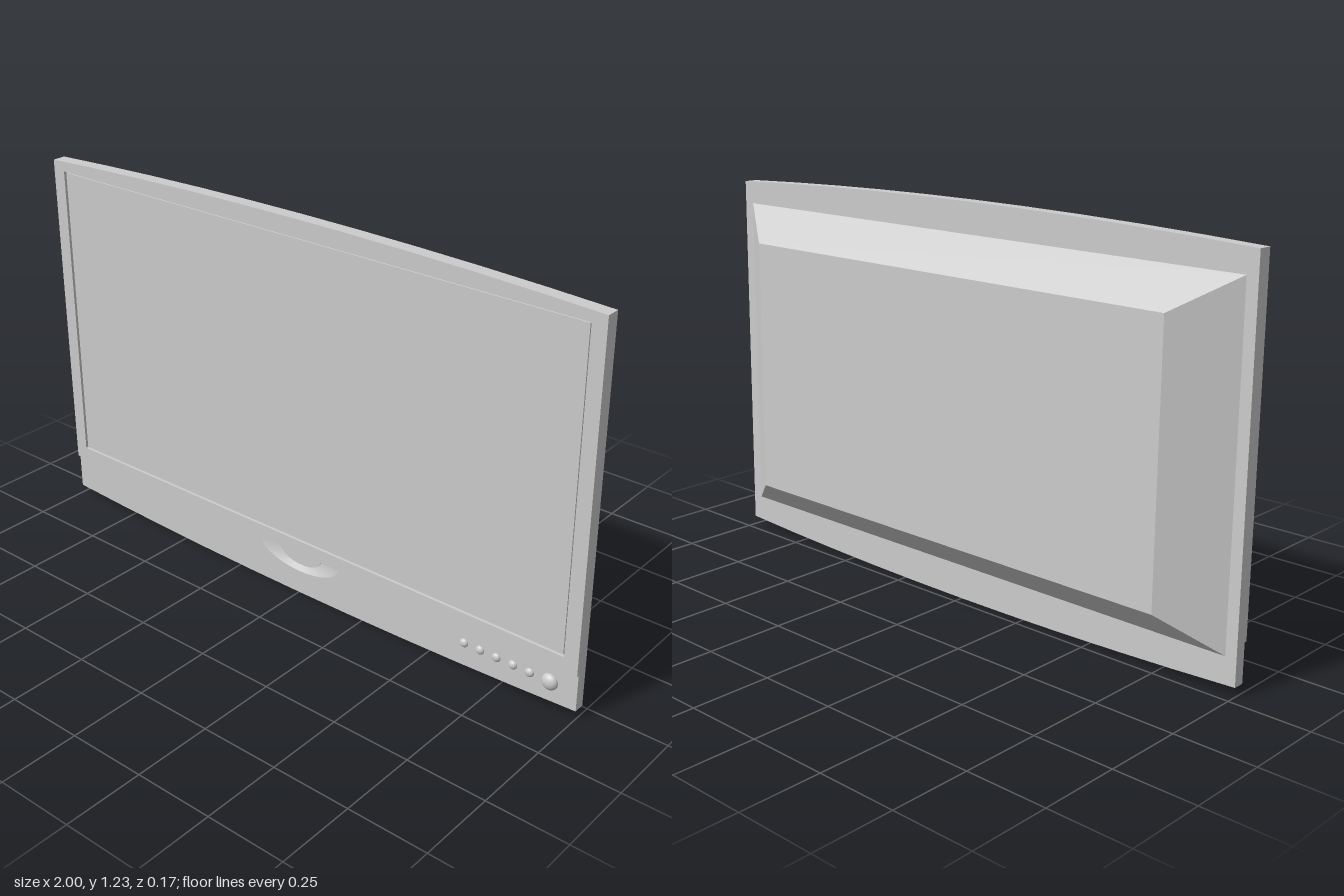
import * as THREE from 'three';

const grey = new THREE.MeshStandardMaterial({ color: 0xcccccc });
const greyTwoSided = new THREE.MeshStandardMaterial({ color: 0xcccccc, side: THREE.DoubleSide });

const STEP_Y = 0.15;                 // underside of the raised bezel
const BACK = 0.03, FRONT = 0.0735;   // depth range of the bezel
const PANEL = 0.065, DISH = 0.05;    // control panel face and recess floor

function add(parent, name, geometry, x = 0, y = 0, z = 0, material = grey) {
  const mesh = new THREE.Mesh(geometry, material);
  mesh.name = name;
  mesh.position.set(x, y, z);
  parent.add(mesh);
  return mesh;
}

function slab(shape, depth) {
  return new THREE.ExtrudeGeometry(shape, { depth, bevelEnabled: false, curveSegments: 20 });
}

// Shallow bowed edge running from x = from to x = -from
function bow(shape, from, endY, midY) {
  for (let i = 1; i <= 10; i++) {
    const t = i / 5 - 1;
    shape.lineTo(-from * t * -1 * -1, midY + (endY - midY) * t * t);
  }
}

// Lower half ellipse hanging from the step line, left to right
function halfEllipse(rx, ry, n = 24) {
  return Array.from({ length: n + 1 }, (_, i) => {
    const a = Math.PI + (Math.PI * i) / n;
    return new THREE.Vector2(rx * Math.cos(a), STEP_Y + ry * Math.sin(a));
  });
}

// Bezel with bowed top and screen opening
function bezelShape() {
  const s = new THREE.Shape();
  s.moveTo(-1, STEP_Y);
  s.lineTo(1, STEP_Y);
  s.lineTo(1, 1.21);
  bow(s, 1, 1.21, 1.235);
  const h = new THREE.Path();
  h.moveTo(-0.955, 0.195);
  h.lineTo(-0.955, 1.18);
  h.lineTo(0.955, 1.18);
  h.lineTo(0.955, 0.195);
  h.closePath();
  s.holes.push(h);
  return s;
}

// Control panel with bowed bottom, optionally notched for the dish
function panelShape(notch) {
  const s = new THREE.Shape();
  s.moveTo(1, STEP_Y);
  if (notch) notch.slice().reverse().forEach((p) => s.lineTo(p.x, p.y));
  s.lineTo(-1, STEP_Y);
  s.lineTo(-1, 0.03);
  bow(s, -1, 0.03, 0.002);
  return s;
}

// Sloped wall between two matching outlines
function slope(outer, outerZ, inner, innerZ) {
  const pos = [], index = [];
  outer.forEach((p, i) => {
    pos.push(p.x, p.y, outerZ, inner[i].x, inner[i].y, innerZ);
    if (i) index.push(2 * i - 2, 2 * i, 2 * i - 1, 2 * i, 2 * i + 1, 2 * i - 1);
  });
  const g = new THREE.BufferGeometry();
  g.setAttribute('position', new THREE.Float32BufferAttribute(pos, 3));
  g.setIndex(index);
  g.computeVertexNormals();
  return g;
}

// Rear housing: a box whose rear face is drawn inward
function housing() {
  const g = new THREE.BoxGeometry(1.93, 1.03, 0.114);
  const p = g.attributes.position;
  for (let i = 0; i < p.count; i++) {
    if (p.getZ(i) < 0) p.setXY(i, Math.sign(p.getX(i)) * 0.8, Math.sign(p.getY(i)) * 0.41);
  }
  g.computeVertexNormals();
  return g;
}

export function createModel() {
  const model = new THREE.Group();
  model.name = 'flatScreenDisplay';
  const body = new THREE.Group();
  body.name = 'displayBody';
  body.rotation.x = 0.0085;  // slight forward lean
  model.add(body);

  // Bezel, screen and its thin surround
  add(body, 'bezel', slab(bezelShape(), FRONT - BACK), 0, 0, BACK);
  add(body, 'screen', new THREE.BoxGeometry(1.91, 0.985, 0.034), 0, 0.6875, BACK + 0.017);
  add(body, 'screenPanel', new THREE.BoxGeometry(1.9, 0.975, 0.006), 0, 0.6875, BACK + 0.036);

  // Control panel, with a scooped dish under the bezel
  const outer = halfEllipse(0.16, 0.07);
  const inner = halfEllipse(0.09, 0.053);
  add(body, 'controlPanelBack', slab(panelShape(), DISH - BACK), 0, 0, BACK);
  add(body, 'controlPanelFront', slab(panelShape(outer), PANEL - DISH), 0, 0, DISH);
  add(body, 'dishSlope', slope(outer, PANEL, inner, DISH + 0.004), 0, 0, 0, greyTwoSided);
  add(body, 'sensorWindow', slab(new THREE.Shape(halfEllipse(0.085, 0.048)), 0.008), 0, 0, DISH);

  // Row of small domed buttons and a larger power button
  const dome = (name, x, r, depth) =>
    add(body, name, new THREE.SphereGeometry(r, 20, 14), x, 0.09, PANEL).scale.set(1, 1, depth / r);
  for (let i = 0; i < 5; i++) dome('button', 0.625 + 0.0555 * i, 0.014, 0.01);
  dome('powerButton', 0.913, 0.026, 0.018);

  // Rear housing
  add(body, 'rearHousing', housing(), 0, 0.625, -0.0265);

  return model;
}
